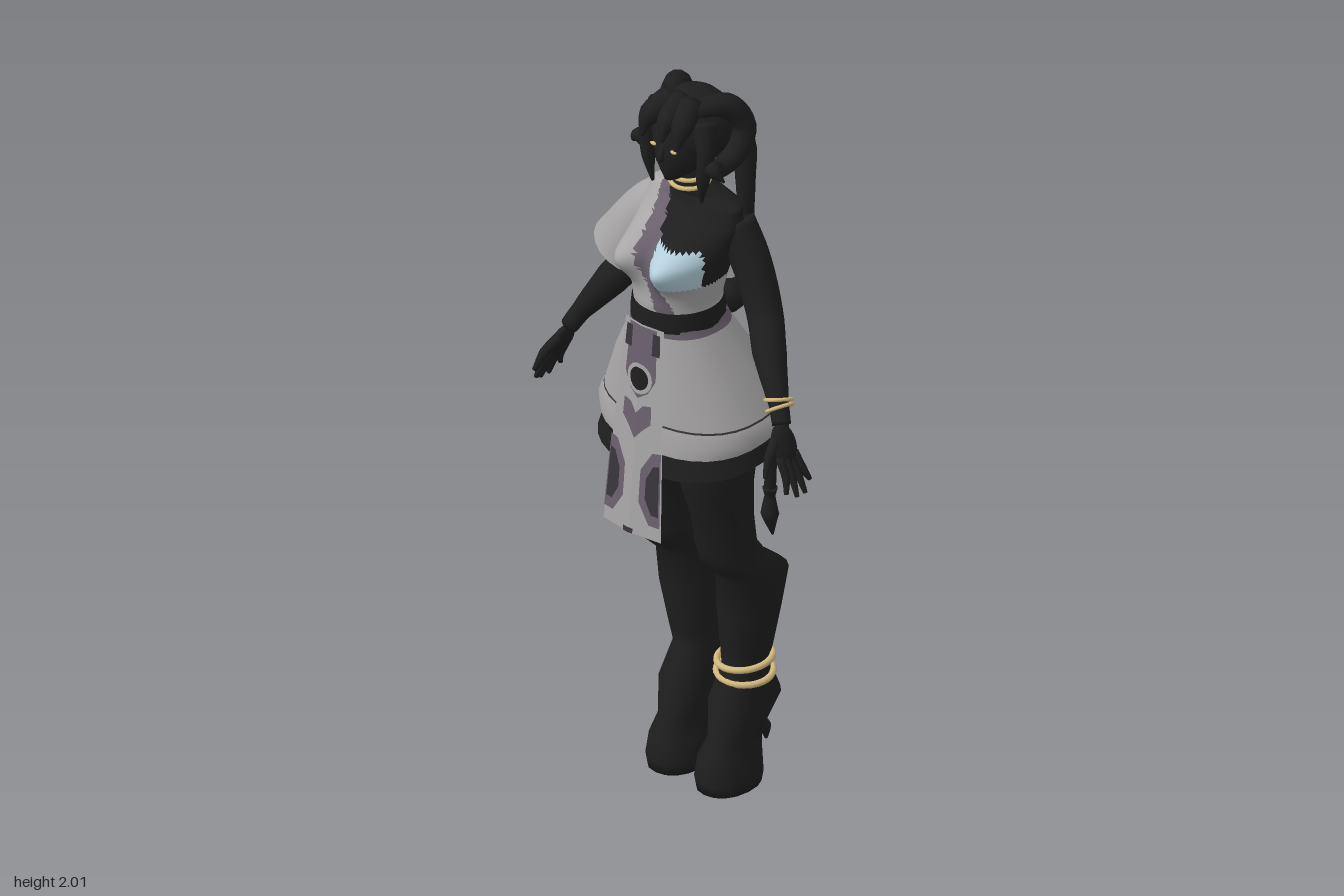
import * as THREE from 'three';

const mat = (name, color, side = THREE.DoubleSide) => Object.assign(new THREE.MeshStandardMaterial({ color, side }), { name });

export function createModel() {
  const model = new THREE.Group();
  const dark = mat('charcoal', 0x1e1e1e), grey = mat('greyCloth', 0xa8a6a6), mauve = mat('mauveTrim', 0x6a606c);
  const dusk = mat('duskPattern', 0x38343b), blue = mat('paleBlue', 0xb4cfdc), gold = mat('gold', 0xd2b87c);

  const add = (name, geo, material, parent = model) => {
    const mesh = new THREE.Mesh(geo, material);
    mesh.name = name;
    parent.add(mesh);
    return mesh;
  };

  // Joins rings of points into a smooth surface; pick(centre, row) chooses a material index
  function skin(rings, pick) {
    const n = rings[0].length, buckets = [], c = new THREE.Vector3();
    const flat = rings.flat();
    for (let i = 0; i < rings.length - 1; i++) {
      for (let j = 0; j < n; j++) {
        const k = (j + 1) % n, a = i * n + j, b = i * n + k, d = a + n, e = b + n;
        for (const tri of [[a, b, d], [b, e, d]]) {
          c.set(0, 0, 0);
          tri.forEach(v => c.addScaledVector(flat[v], 1 / 3));
          const m = pick ? pick(c, i) : 0;
          (buckets[m] ||= []).push(...tri);
        }
      }
    }
    const geo = new THREE.BufferGeometry().setFromPoints(flat);
    const index = [];
    buckets.forEach((list, m) => {
      if (pick) geo.addGroup(index.length, list.length, m);
      for (const v of list) index.push(v);
    });
    geo.setIndex(index);
    geo.computeVertexNormals();
    return geo;
  }

  // Horizontal sections from top to bottom: [y, cx, cz, rx, rz, tilt]
  const power = (v, p) => Math.sign(v) * Math.abs(v) ** p;
  function loftRings(sections, n, p = 1) {
    return sections.map(([y, cx, cz, rx, rz, tilt = 0]) => Array.from({ length: n }, (_, j) => {
      const a = j / n * Math.PI * 2, z = cz + rz * power(Math.sin(a), p);
      return new THREE.Vector3(cx + rx * power(Math.cos(a), p), y - tilt * z, z);
    }));
  }
  const flatEnd = ([y, cx, cz, , , t]) => [y, cx, cz, 0, 0, t];
  const capped = s => [flatEnd(s[0]), ...s, flatEnd(s[s.length - 1])];
  const refine = (s, k) => s.flatMap((row, i) => i === s.length - 1 ? [row]
    : Array.from({ length: k }, (_, q) => row.map((v, d) => v + (s[i + 1][d] - v) * q / k)));

  // Tapering tube through [x, y, z, radius]
  function limb(pts, { n = 10, steps = 5, open = false } = {}) {
    const curve = new THREE.CatmullRomCurve3(pts.map(q => new THREE.Vector3(q[0], q[1], q[2])));
    const count = (pts.length - 1) * steps, rings = [], N = new THREE.Vector3(0.3, 0.1, 1);
    for (let i = 0; i <= count; i++) {
      const u = i / steps, s = Math.min(Math.floor(u), pts.length - 2);
      const r = THREE.MathUtils.lerp(pts[s][3], pts[s + 1][3], u - s);
      const P = curve.getPoint(i / count), T = curve.getTangent(i / count);
      N.addScaledVector(T, -N.dot(T)).normalize();
      const B = T.clone().cross(N);
      const ring = rad => Array.from({ length: n }, (_, j) => {
        const a = j / n * Math.PI * 2;
        return P.clone().addScaledVector(N, rad * Math.cos(a)).addScaledVector(B, rad * Math.sin(a));
      });
      if (i === 0 && !open) rings.push(ring(0));
      rings.push(ring(r));
      if (i === count && !open) rings.push(ring(0));
    }
    return skin(rings);
  }
  const ball = (name, material, p, s, parent = model) => {
    const m = add(name, new THREE.SphereGeometry(1, 20, 14), material, parent);
    m.position.set(...p);
    m.scale.set(...s);
    return m;
  };
  // Builds a left side group and its mirrored twin
  const bothSides = (name, build) => [['left', 1], ['right', -1]].forEach(([side, sx]) => {
    const g = new THREE.Group();
    g.name = side + name;
    g.scale.x = sx;
    build(g, sx);
    model.add(g);
  });

  // Torso: one-shouldered shirt with a diagonal trim, bare left shoulder and belt
  const torso = loftRings(refine([
    [1.80, 0, 0, .042, .042], [1.735, 0, 0, .047, .045], [1.712, 0, -.02, .085, .055], [1.69, 0, -.025, .145, .065],
    [1.64, 0, -.01, .155, .085], [1.57, 0, .018, .142, .108], [1.5, 0, .035, .125, .115], [1.44, 0, .045, .112, .115],
    [1.37, 0, .045, .113, .115], [1.25, 0, .01, .14, .115], [1.06, 0, 0, .165, .11], [1.0, 0, 0, .05, .05],
  ], 9), 64);
  torso.flat().forEach(v => {
    if (v.z > 0) v.z += .088 * Math.exp(-((Math.abs(v.x) - .072) ** 2 + (v.y - 1.56) ** 2) / .0036);
  });
  add('torsoAndShirt', skin(torso, c => {
    const edge = -.04 + (1.7 - c.y) * .41;
    if (c.y < 1.425 || c.y > 1.718) return 0;
    if (c.x < edge && c.x > edge - .045) return 2;
    if (c.x < edge || c.y < 1.505) return 1;
    return c.z > .09 && c.y < 1.605 ? 3 : 0;
  }), [dark, grey, mauve, blue]);
  add('belt', skin(loftRings([[1.425, 0, .045, .116, .12], [1.4, 0, .045, .119, .123], [1.37, 0, .045, .119, .122]], 32)), dark);
  add('sleeve', limb([[-.1, 1.64, -.03, .062], [-.155, 1.58, -.025, .075], [-.23, 1.45, -.02, .1]], { n: 20, open: true }), grey);

  // Skirt with trim at the waist, stitched hem line and dark underskirt
  add('skirt', skin(loftRings([
    [1.382, 0, .042, .115, .115], [1.355, 0, .037, .125, .12], [1.25, 0, .012, .185, .155, .02],
    [1.13, 0, -.008, .24, .18, .1], [1.125, 0, -.008, .242, .181, .1], [1.095, 0, -.012, .26, .192, .14], [1.065, 0, -.012, .25, .194, .17],
  ], 32, .85), (c, row) => row === 0 ? 1 : row === 3 ? 2 : 0), [grey, mauve, dusk]);
  add('underskirt', skin(loftRings([[1.12, 0, -.01, .22, .175, .15], [1.01, 0, -.01, .25, .207, .17]], 32, .85)), dark);

  // Hanging front panel, two mirrored flat halves with a patterned face
  const poly = pts => new THREE.Shape(pts.map(q => new THREE.Vector2(...q)));
  const halfDisc = (y, r) => poly(Array.from({ length: 13 }, (_, i) => {
    const a = -Math.PI / 2 + i / 12 * Math.PI;
    return [r * Math.cos(a), y + r * Math.sin(a)];
  }));
  const panel = [
    ['panelCloth', grey, poly([[0, .805], [.1, .805], [.066, 1.385], [0, 1.385]])],
    ['panelUpperInlay', mauve, poly([[0, 1.18], [.03, 1.2], [.052, 1.24], [.046, 1.38], [0, 1.38]])],
    ['panelSquare', dusk, poly([[.035, 1.31], [.06, 1.31], [.057, 1.37], [.035, 1.37]])],
    ['panelRing', grey, halfDisc(1.235, .042)],
    ['panelDisc', dark, halfDisc(1.235, .031)],
    ['panelHexagon', mauve, poly([[0, 1.07], [.026, 1.1], [.048, 1.12], [.046, 1.17], [.02, 1.165], [0, 1.14]])],
    ['panelSideHexagon', mauve, poly([[.062, .845], [.096, .845], [.086, 1.05], [.06, 1.045], [.027, .99], [.027, .9]])],
    ['panelSideCore', dusk, poly([[.068, .875], [.09, .875], [.084, 1.015], [.066, 1.01], [.046, .97], [.046, .915]])],
    ['panelHemMark', dusk, poly([[0, .808], [.016, .808], [.016, .822], [0, .822]])],
  ];
  bothSides('FrontPanel', g => panel.forEach(([name, material, shape], layer) => {
    const geo = new THREE.ShapeGeometry(shape), p = geo.attributes.position;
    for (let i = 0; i < p.count; i++) p.setZ(i, .176 + (1.38 - p.getY(i)) * .088 - .13 * p.getX(i) + layer * .0008);
    geo.computeVertexNormals();
    add(name, geo, material, g);
  }));

  // Legs with hooked calves, wide ankles and blunt feet
  bothSides('Leg', g => {
    add('leg', skin(loftRings(capped([
      [1.12, .095, 0, .09, .11], [1.0, .1, .005, .083, .115], [.9, .1, .008, .08, .1], [.8, .1, -.01, .075, .08],
      [.71, .1, -.025, .073, .078], [.66, .1, -.05, .078, .09], [.605, .105, -.114, .084, .095], [.5, .1, -.108, .076, .084],
      [.38, .09, -.11, .06, .07], [.33, .085, -.11, .054, .062], [.235, .086, -.106, .075, .104], [.14, .087, -.07, .053, .08],
      [.09, .085, -.054, .068, .09], [.03, .085, -.05, .076, .094], [0, .085, -.05, .07, .09],
    ]), 16, .9)), dark, g);
    [.06, .11].forEach(x => add('dewclaw', limb([[x, .17, -.13, .014], [x, .13, -.155, .017], [x, .095, -.16, .004]], { n: 8 }), dark, g));
  });

  // Arms and hands
  bothSides('Arm', g => {
    add('arm', limb([[.11, 1.635, -.04, .058], [.165, 1.55, -.045, .052], [.225, 1.42, -.035, .047], [.275, 1.34, 0, .044],
      [.345, 1.235, .04, .026], [.37, 1.19, .055, .024]], { n: 14 }), dark, g);
    const palm = ball('palm', dark, [.388, 1.145, .065], [.018, .056, .038], g);
    palm.rotation.z = .42;
    [[.435, 1.045, .02], [.448, 1.022, .05], [.448, 1.022, .08], [.437, 1.035, .108]].forEach(([x, y, z], i) =>
      add('finger', limb([[.4, 1.12, .042 + i * .017, .012], [.425, 1.075, .034 + i * .021, .011], [x, y, z, .006]], { n: 8, steps: 3 }), dark, g));
    add('thumb', limb([[.378, 1.165, .085, .014], [.392, 1.13, .125, .013], [.403, 1.085, .15, .006]], { n: 8, steps: 3 }), dark, g);
  });

  // Head, nose and eyes
  add('head', skin(loftRings(capped([
    [1.97, 0, 0, .06, .07], [1.91, 0, .005, .086, .095], [1.86, 0, .008, .084, .098], [1.82, 0, .015, .07, .088],
    [1.79, 0, .03, .045, .066], [1.77, 0, .055, .02, .035],
  ]), 24)), dark);
  add('nose', limb([[0, 1.875, .098, .006], [0, 1.84, .112, .011], [0, 1.832, .1, .006]], { n: 8 }), dark);
  bothSides('Eye', g => ball('eye', gold, [.035, 1.866, .1], [.01, .005, .005], g));

  // Hair cap, fringe, side locks, horns and long braids
  ball('hairCap', dark, [0, 1.895, -.008], [.106, .105, .108]);
  add('centreFringe', limb([[0, 1.985, .03, .03], [.012, 1.95, .1, .026], [.02, 1.9, .128, .005]]), dark);
  bothSides('Hair', g => {
    add('fringe', limb([[.03, 1.98, .03, .035], [.055, 1.94, .09, .03], [.06, 1.885, .118, .005]]), dark, g);
    add('sideLock', limb([[.075, 1.94, .03, .035], [.1, 1.87, .05, .024], [.095, 1.79, .055, .018], [.085, 1.72, .05, .004]]), dark, g);
    add('horn', limb([[.045, 1.965, .04, .026], [.085, 1.965, -.04, .034], [.108, 1.9, -.08, .033], [.112, 1.835, -.045, .03],
      [.112, 1.815, .02, .026], [.13, 1.835, .055, .02], [.16, 1.805, .045, .003]], { n: 12 }), dark, g);
    add('braid', limb([[.045, 1.88, -.09, .025], [.068, 1.82, -.12, .032], [.078, 1.72, -.118, .026], [.08, 1.6, -.12, .02],
      [.08, 1.4, -.152, .018], [.08, 1.13, -.212, .017], [.08, .77, -.205, .015]]), dark, g);
    add('tassel', limb([[.08, .79, -.205, .02], [.08, .765, -.205, .014], [.08, .715, -.205, .024], [.08, .65, -.215, .003]]), dark, g);
  });
  add('hairBand', limb([[-.06, 1.855, -.11, .007], [-.05, 1.885, -.115, .008], [0, 1.905, -.118, .008], [.05, 1.885, -.115, .008], [.06, 1.855, -.11, .007]]), gold);

  // Short tail above the skirt
  const tail = add('tail', limb([[0, 1.35, -.06, .03], [0, 1.345, -.12, .045], [0, 1.345, -.17, .036], [0, 1.385, -.228, .004]]), dark);
  tail.scale.x = 1.15;

  // Gold chokers, bracelets and anklets
  const ring = (name, p, r, tube, dir, squash = 1) => {
    const m = add(name, new THREE.TorusGeometry(r, tube, 8, 28), gold);
    m.position.set(...p);
    m.scale.y = squash;
    m.quaternion.setFromUnitVectors(new THREE.Vector3(0, 0, 1), new THREE.Vector3(...dir).normalize());
  };
  [1.738, 1.762].forEach(y => ring('choker', [0, y, .002], .05, .006, [0, 1, .08]));
  ring('bracelet', [.342, 1.245, .037], .034, .005, [.4, -1, .35]);
  ring('bracelet', [.352, 1.228, .043], .034, .005, [.7, -1, .2]);
  ring('anklet', [.085, .305, -.108], .074, .009, [.04, 1, .1], .95);
  ring('anklet', [.085, .343, -.108], .074, .009, [-.1, 1, .12], .95);

  return model;
}
